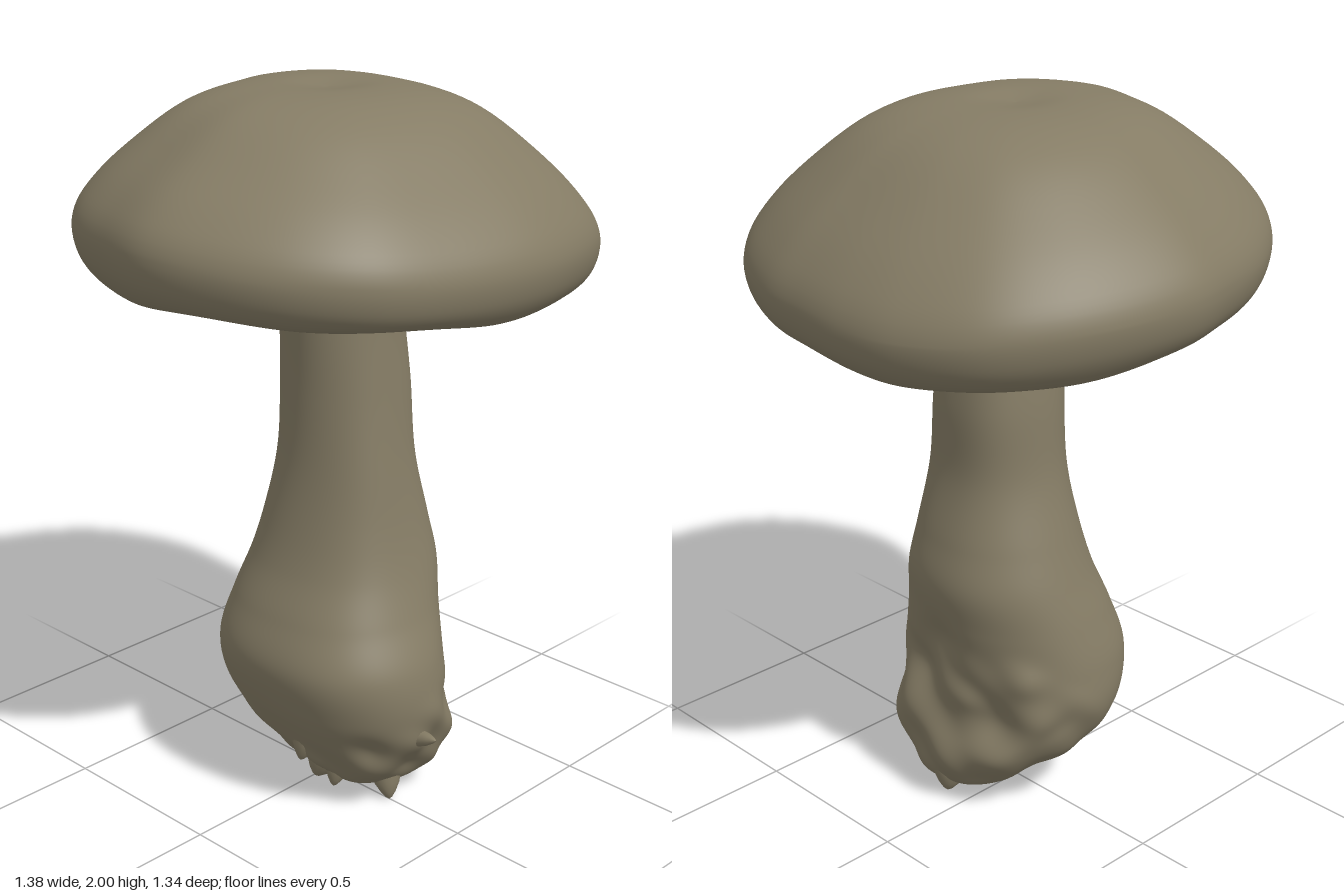
import * as THREE from 'three';

const V = (x, y, z) => new THREE.Vector3(x, y, z);
const material = new THREE.MeshStandardMaterial({ color: 0x857c65, side: THREE.DoubleSide });
const { smoothstep } = THREE.MathUtils;

// Seamless skin over rings running from top to bottom; point(u, v) gives each corner.
function loft(name, around, rows, point) {
  const pos = [], index = [];
  for (let j = 0; j <= rows; j++)
    for (let i = 0; i < around; i++) pos.push(...point(i / around, j / rows).toArray());
  for (let j = 0; j < rows; j++)
    for (let i = 0; i < around; i++) {
      const n = (i + 1) % around, a = j * around + i, b = j * around + n;
      index.push(a, b, a + around, b, b + around, a + around);
    }
  const g = new THREE.BufferGeometry();
  g.setAttribute('position', new THREE.Float32BufferAttribute(pos, 3));
  g.setIndex(index);
  g.computeVertexNormals();
  const mesh = new THREE.Mesh(g, material);
  mesh.name = name;
  return mesh;
}

// Soft bump centred on c with width w
const bump = (t, c, w) => Math.exp(-(((t - c) / w) ** 2));

function makeCap() {
  // Irregular outline seen from above
  const outline = new THREE.CatmullRomCurve3([
    [0.685, -0.1], [0.675, 0.08], [0.65, 0.23], [0.555, 0.435], [0.43, 0.56], [0.22, 0.645], [0.04, 0.668],
    [-0.2, 0.635], [-0.41, 0.56], [-0.55, 0.435], [-0.65, 0.25], [-0.69, 0.05], [-0.635, -0.17],
    [-0.565, -0.345], [-0.455, -0.48], [-0.3, -0.58], [-0.1, -0.645], [0.05, -0.675], [0.25, -0.645],
    [0.43, -0.567], [0.567, -0.452], [0.66, -0.265],
  ].map(([x, z]) => V(x, 0, z)), true);
  // Crown, rolled rim and hollow underside: share of the outline, height
  const profile = new THREE.CatmullRomCurve3([
    [0, 1.985], [0.06, 1.988], [0.2, 1.996], [0.4, 1.98], [0.56, 1.937], [0.75, 1.84], [0.9, 1.745],
    [0.98, 1.67], [1, 1.615], [0.98, 1.55], [0.925, 1.502], [0.87, 1.49], [0.81, 1.52],
    [0.62, 1.585], [0.42, 1.612], [0.24, 1.61], [0.08, 1.61],
  ].map(([s, y]) => V(s, y, 0)));
  const rim = 11 / 16;
  return loft('cap', 192, 80, (u, v) => {
    const p = outline.getPoint(u), { x: s, y } = profile.getPoint(v);
    const a = Math.atan2(p.z, p.x);
    p.multiplyScalar(s);
    // The cap droops towards +x, and its lower edge waves gently
    let h = y - 0.11 * p.x * Math.abs(p.x);
    h += (0.01 * Math.sin(3 * a + 0.8) + 0.01 * Math.cos(a - 2.2)) * bump(v, rim, 0.1);
    h += 0.006 * Math.sin(7 * a) * bump(v, rim, 0.07);
    if (v < 0.5) h += 0.005 * Math.sin(9 * p.x + 2) * Math.sin(8 * p.z + 1) * s;
    // Broken, uneven gill folds below, fading out towards the stem
    if (v > rim) {
      const fade = Math.sin(Math.PI * (v - rim) / (1 - rim)) * smoothstep(s, 0.25, 0.6);
      const patch = 0.5 + 0.5 * Math.sin(5 * a + 9 * s);
      h += fade * (0.016 * patch * Math.sin(19 * a + 3 * Math.sin(2 * a) + 3 * s) + 0.006 * Math.sin(31 * a + 7 * s));
    }
    return V(p.x, Math.min(h, 2), p.z);
  });
}

function makeStem() {
  // Rings as height, x from, x to, z from, z to
  const rings = [
    [1.66, -0.185, 0.21, -0.165, 0.215], [1.58, -0.16, 0.192, -0.135, 0.19], [1.45, -0.15, 0.187, -0.12, 0.18],
    [1.2, -0.135, 0.205, -0.14, 0.2], [1.0, -0.14, 0.205, -0.155, 0.225], [0.82, -0.168, 0.248, -0.2, 0.255],
    [0.7, -0.2, 0.272, -0.235, 0.285], [0.58, -0.25, 0.255, -0.27, 0.325], [0.45, -0.29, 0.235, -0.3, 0.375],
    [0.32, -0.26, 0.24, -0.305, 0.385], [0.2, -0.2, 0.262, -0.24, 0.36], [0.11, -0.14, 0.25, -0.14, 0.3],
    [0.045, -0.06, 0.22, -0.04, 0.24], [0.025, 0.05, 0.1, 0.08, 0.12],
  ];
  const low = new THREE.CatmullRomCurve3(rings.map(([y, x, , z]) => V(x, y, z)));
  const high = new THREE.CatmullRomCurve3(rings.map(([y, , x, , z]) => V(x, y, z)));
  // Torn lumps and hollows: angle, height, size, spread
  const lumps = [
    [0.3, 0.38, -0.03, 0.07], [-0.25, 0.36, 0.012, 0.04], [-0.75, 0.45, 0.025, 0.05], [-0.5, 0.28, -0.035, 0.07],
    [0.1, 0.52, -0.02, 0.06], [0.55, 0.22, 0.015, 0.07], [-1.1, 0.3, -0.02, 0.06], [-2.3, 0.16, -0.035, 0.08],
    [2.3, 0.22, -0.02, 0.05], [-2.7, 0.22, 0.012, 0.05], [1.5, 0.18, -0.015, 0.05], [3.0, 0.13, 0.015, 0.04],
  ];
  return loft('stem', 128, 140, (u, v) => {
    const a = u * Math.PI * 2, p = low.getPoint(v), q = high.getPoint(v);
    const y = (p.y + q.y) / 2;
    const rx = (q.x - p.x) / 2, rz = (q.z - p.z) / 2;
    // The torn base reaches higher on the +x side
    const end = smoothstep(y, 0.025, 0.12);
    const base = smoothstep(0.4 + 0.16 * Math.cos(a) - y, 0, 0.2) * end;
    // Slightly squared section
    let d = 0.035 * rx * Math.sin(2 * a) ** 2 + 0.002 * Math.sin(5 * a + 4 * y);
    d += base * (0.007 * Math.sin(5 * a + 19 * y) + 0.006 * Math.sin(8 * a - 33 * y + 1));
    for (const [la, ly, size, w] of lumps) {
      const da = Math.atan2(Math.sin(a - la), Math.cos(a - la)) * 0.27;
      d += size * bump(Math.hypot(da, y - ly), 0, w) * end;
    }
    return V((p.x + q.x) / 2 + Math.cos(a) * (rx + d),
      y + base * 0.012 * Math.sin(4 * a + 1), (p.z + q.z) / 2 + Math.sin(a) * (rz + d));
  });
}

// Torn root: a flared stub that narrows from start to a pointed tip
function makeRoot(start, tip, radius) {
  const dir = tip.clone().sub(start), l = dir.length();
  const outline = [[1, 0], [0.8, 0.35], [0.6, 0.65], [0.35, 0.85], [0.15, 0.96], [0, 1]];
  const g = new THREE.LatheGeometry(outline.map(([r, t]) => new THREE.Vector2(r * radius, t * l)), 14);
  const mesh = new THREE.Mesh(g, material);
  mesh.position.copy(start);
  mesh.quaternion.setFromUnitVectors(V(0, 1, 0), dir.normalize());
  mesh.name = 'root';
  return mesh;
}

export function createModel() {
  const model = new THREE.Group();
  model.name = 'mushroom';
  const roots = new THREE.Group();
  roots.name = 'roots';
  [
    [[-0.14, 0.27, 0.08], [-0.18, 0.13, 0.07], 0.06],
    [[-0.03, 0.15, 0.06], [-0.08, 0.02, 0.03], 0.08],
    [[-0.08, 0.18, 0.14], [-0.12, 0.05, 0.14], 0.055],
    [[0.02, 0.13, 0.2], [0, 0, 0.245], 0.06],
    [[0.16, 0.15, 0.09], [0.21, 0.005, 0.07], 0.085],
    [[0.1, 0.12, 0.14], [0.11, 0.01, 0.15], 0.1],
    [[-0.01, 0.24, 0.33], [-0.02, 0.27, 0.43], 0.03],
  ].forEach(([s, t, r]) => roots.add(makeRoot(V(...s), V(...t), r)));
  model.add(makeCap(), makeStem(), roots);
  return model;
}
